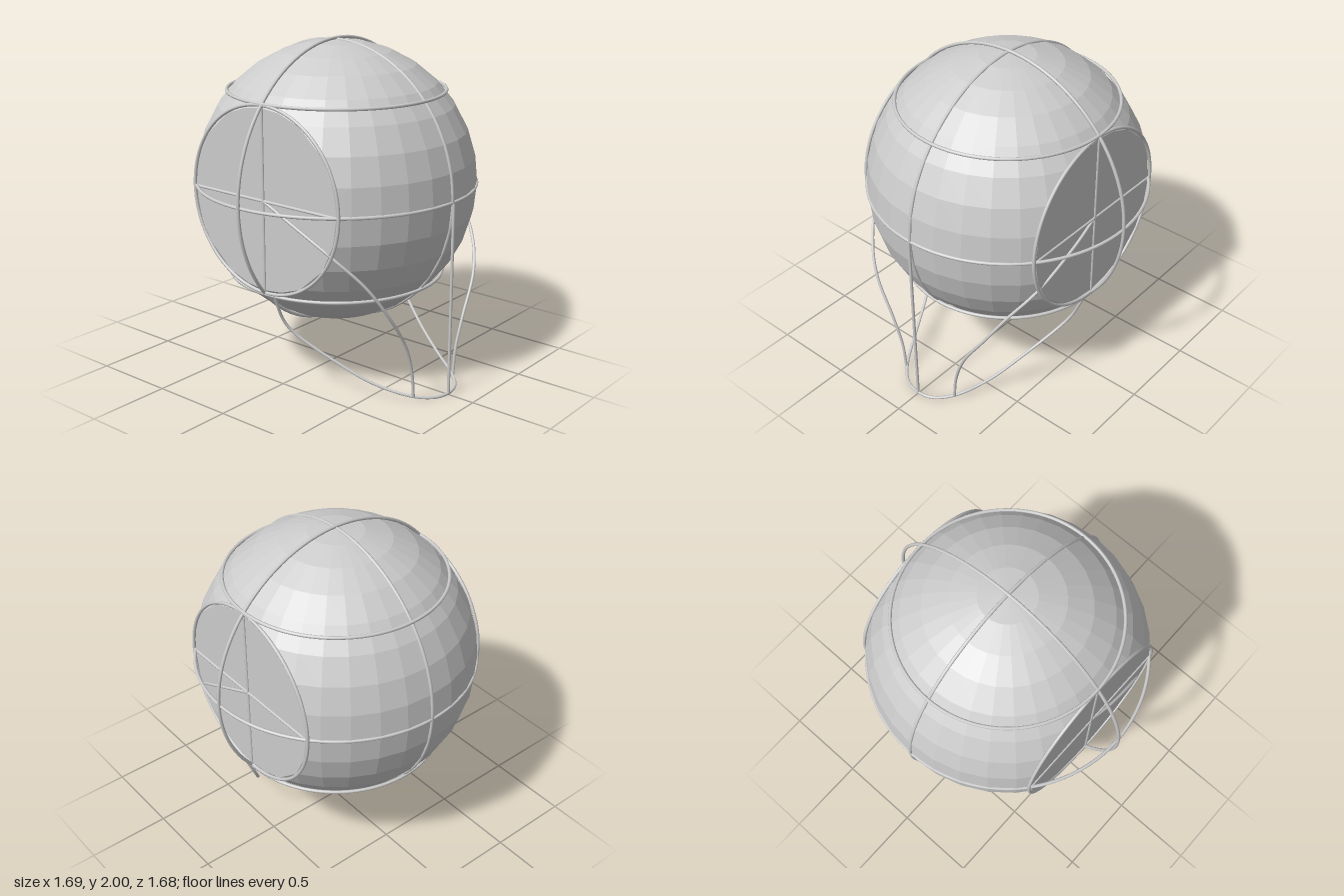
import * as THREE from 'three';

const CENTRE_Y = 1.152;   // height of the ball's centre
const CENTRE_Z = -0.004;
const R = 0.829;          // ball radius
const SIDE = 0.637;       // where the flat sides slice the ball
const WIRE = 0.01;

// Cuts triangles (flat list of Vector3) at sign * x = SIDE and closes the cut with a flat cap
function sliceSide(points, sign) {
  const out = [];
  const centre = new THREE.Vector3(sign * SIDE, 0, 0);
  for (let i = 0; i < points.length; i += 3) {
    const poly = [];
    let exit = null, entry = null;
    for (let k = 0; k < 3; k++) {
      const a = points[i + k], b = points[i + (k + 1) % 3];
      const da = SIDE - sign * a.x, db = SIDE - sign * b.x;
      if (da >= 0) poly.push(a);
      if ((da >= 0) !== (db >= 0)) {
        const p = a.clone().lerp(b, da / (da - db));
        poly.push(p);
        if (da >= 0) exit = p; else entry = p;
      }
    }
    for (let k = 1; k + 1 < poly.length; k++) out.push(poly[0], poly[k], poly[k + 1]);
    if (exit && entry) out.push(entry, exit, centre);
  }
  return out;
}

function slicedBall() {
  const pos = new THREE.SphereGeometry(R, 32, 16).toNonIndexed().attributes.position;
  let points = [];
  for (let i = 0; i < pos.count; i++) points.push(new THREE.Vector3().fromBufferAttribute(pos, i));
  points = sliceSide(sliceSide(points, 1), -1);
  const geometry = new THREE.BufferGeometry().setFromPoints(points);
  geometry.computeVertexNormals();
  return geometry;
}

export function createModel() {
  const group = new THREE.Group();
  const material = new THREE.MeshStandardMaterial({ color: 0xcccccc });
  const flat = new THREE.MeshStandardMaterial({ color: 0xcccccc, flatShading: true });

  const add = (name, geometry, x = 0, y = 0, z = 0, mat = material) => {
    const mesh = new THREE.Mesh(geometry, mat);
    mesh.name = name;
    mesh.position.set(x, y, z);
    group.add(mesh);
    return mesh;
  };
  const ring = (name, radius, axis, x = 0, y = CENTRE_Y) => {
    const mesh = add(name, new THREE.TorusGeometry(radius, WIRE, 8, 96), x, y, CENTRE_Z);
    if (axis === 'x') mesh.rotation.y = Math.PI / 2;
    if (axis === 'y') mesh.rotation.x = Math.PI / 2;
  };
  const wire = (name, points, segments = 64) => {
    const curve = new THREE.CatmullRomCurve3(points.map(p => new THREE.Vector3(...p)), false, 'centripetal');
    add(name, new THREE.TubeGeometry(curve, segments, WIRE * 0.9, 8), 0, 0, 0);
  };

  // Cranium with both sides sliced flat
  add('cranium', slicedBall(), 0, CENTRE_Y, CENTRE_Z, flat);

  // Great circles around the ball
  ring('earCircle', 0.837, 'z');
  ring('midlineCircle', 0.827, 'x');
  ring('browCircle', 0.826, 'y');

  // Level circles at hairline and nose height
  ring('hairlineCircle', 0.637, 'y', 0, 1.697);
  ring('noseCircle', 0.637, 'y', 0, 0.605);

  // Straight centre line of the face
  wire('faceLine', [[0, CENTRE_Y, 0.832], [0, 0.012, 0.832]], 1);

  // Jaw line: one loop from side to side through the chin
  const jaw = [
    [0.637, 0.605, 0.07], [0.565, 0.44, 0.072], [0.52, 0.36, 0.115], [0.405, 0.2, 0.33],
    [0.31, 0.09, 0.53], [0.2, 0.03, 0.72], [0.1, 0.014, 0.81],
  ];
  const mirrored = jaw.map(([x, y, z]) => [-x, y, z]).reverse();
  wire('jawLine', [...jaw, [0, 0.011, 0.832], ...mirrored], 160);

  for (const s of [1, -1]) {
    const side = s > 0 ? 'left' : 'right';
    // Rim and cross of the flat side
    ring(side + 'SideRim', 0.539, 'x', s * SIDE);
    const x = s * SIDE, r = 0.539;
    wire(side + 'SideUpright', [[x, CENTRE_Y - r, CENTRE_Z], [x, CENTRE_Y + r, CENTRE_Z]], 1);
    wire(side + 'SideLevel', [[x, CENTRE_Y, CENTRE_Z - r], [x, CENTRE_Y, CENTRE_Z + r]], 1);
    // Cheek line from the ear point down to the chin corner
    wire(side + 'CheekLine', [
      [0.637, 1.15, 0], [0.652, 1.07, 0.2], [0.625, 0.92, 0.48], [0.525, 0.76, 0.63],
      [0.43, 0.6, 0.7], [0.285, 0.37, 0.728], [0.22, 0.19, 0.728], [0.2, 0.03, 0.728],
    ].map(([px, y, z]) => [s * px, y, z]), 80);
  }
  return group;
}
